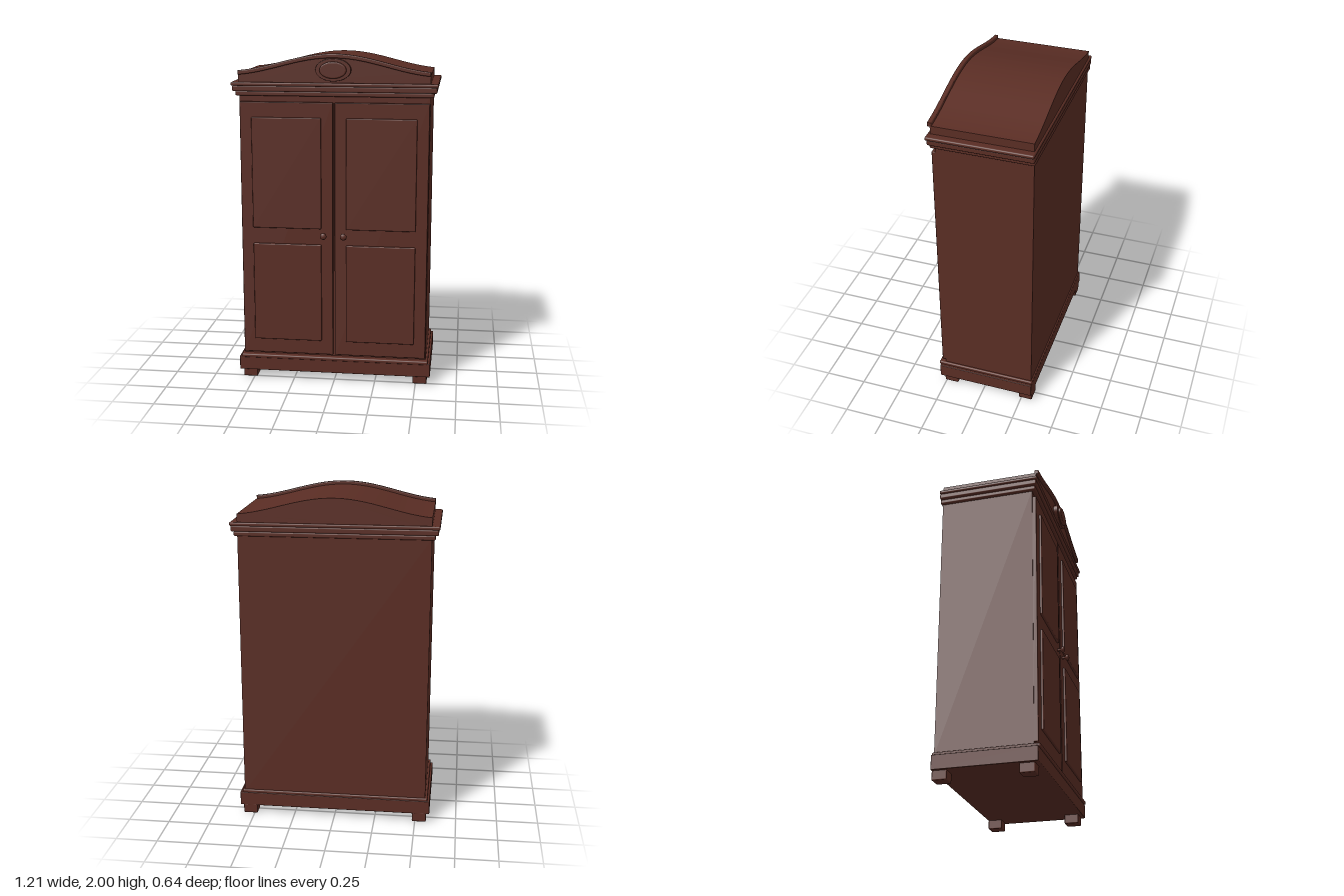
import * as THREE from 'three';
import { RoundedBoxGeometry } from 'three/addons/geometries/RoundedBoxGeometry.js';

const wood = new THREE.MeshStandardMaterial({ color: 0x5a2d24 });
wood.name = 'dark mahogany';

function add(parent, name, geometry) {
  const mesh = new THREE.Mesh(geometry, wood);
  mesh.name = name;
  parent.add(mesh);
  return mesh;
}

// Box given by its limits; a radius softens the edges
function block(parent, name, [x0, x1], [y0, y1], [z0, z1], radius = 0) {
  const size = [x1 - x0, y1 - y0, z1 - z0];
  const geometry = radius
    ? new RoundedBoxGeometry(...size, 2, radius)
    : new THREE.BoxGeometry(...size);
  const mesh = add(parent, name, geometry);
  mesh.position.set((x0 + x1) / 2, (y0 + y1) / 2, (z0 + z1) / 2);
  return mesh;
}

// Swept top line of the pediment, from 1.90 at the ends to 2.00 in the middle
const HALF = 0.56;
function crest(x) {
  const k = 2.8;
  const low = Math.cos(k);
  return 1.9 + 0.1 * (Math.cos((k * x) / HALF) - low) / (1 - low);
}

// Outline between the crest lowered by 'drop' and a lower edge
function crestShape(half, drop, lower) {
  const n = 40;
  const points = [];
  for (let i = 0; i <= n; i++) {
    const x = half - (2 * half * i) / n;
    points.push(new THREE.Vector2(x, crest(x) - drop));
  }
  for (let i = n; i >= 0; i--) {
    const x = half - (2 * half * i) / n;
    points.push(new THREE.Vector2(x, lower(x)));
  }
  return new THREE.Shape(points);
}

function oval(rx, ry) {
  return new THREE.Shape().absellipse(0, 0, rx, ry, 0, Math.PI * 2);
}

function makeDoor(side) {
  const door = new THREE.Group();
  door.name = side > 0 ? 'leftDoor' : 'rightDoor';
  const span = (a, b) => (side > 0 ? [a, b] : [-b, -a]);
  block(door, 'doorLeaf', span(0.005, 0.557), [0.17, 1.717], [0.245, 0.277], 0.005);
  block(door, 'upperPanel', span(0.074, 0.487), [0.963, 1.628], [0.262, 0.29], 0.006);
  block(door, 'lowerPanel', span(0.074, 0.487), [0.26, 0.866], [0.262, 0.29], 0.006);

  // Turned knob
  const profile = [[0, 0], [0.011, 0], [0.008, 0.012], [0.008, 0.024], [0.017, 0.03],
    [0.02, 0.037], [0.016, 0.044], [0.008, 0.047], [0, 0.048]];
  const knob = add(door, 'knob',
    new THREE.LatheGeometry(profile.map(([r, y]) => new THREE.Vector2(r, y)), 24));
  knob.rotation.x = Math.PI / 2;
  knob.position.set(side * 0.06, 0.925, 0.272);
  return door;
}

function makePediment() {
  const pediment = new THREE.Group();
  pediment.name = 'pediment';

  // Curved roof block running to the back
  const roof = add(pediment, 'roofBlock', new THREE.ExtrudeGeometry(
    crestShape(HALF, 0.02, () => 1.82), { depth: 0.587, bevelEnabled: false }));
  roof.position.z = -0.31;

  // Rounded moulding along the front crest
  const b = 0.006;
  const trim = add(pediment, 'crestMoulding', new THREE.ExtrudeGeometry(
    crestShape(HALF - b, b, (x) => crest(x) - 0.019),
    { depth: 0.014, bevelSize: b, bevelThickness: b, bevelSegments: 3 }));
  trim.position.z = 0.274;

  // Oval medallion
  const base = add(pediment, 'medallionBase', new THREE.ExtrudeGeometry(
    oval(0.1, 0.062), { depth: 0.024, bevelSize: 0.003, bevelThickness: 0.003, bevelSegments: 2, curveSegments: 32 }));
  base.position.set(0, 1.908, 0.275);
  const boss = add(pediment, 'medallionBoss', new THREE.ExtrudeGeometry(
    oval(0.07, 0.04), { depth: 0.012, bevelSize: 0.008, bevelThickness: 0.006, bevelSegments: 3, curveSegments: 32 }));
  boss.position.set(0, 1.908, 0.3);
  return pediment;
}

export function createModel() {
  const wardrobe = new THREE.Group();
  wardrobe.name = 'wardrobe';

  // Feet
  for (const s of [-1, 1]) {
    const x = s > 0 ? [0.482, 0.568] : [-0.568, -0.482];
    block(wardrobe, 'frontFoot', x, [0, 0.06], [0.173, 0.26], 0.006);
    block(wardrobe, 'backFoot', x, [0, 0.06], [-0.318, -0.232], 0.006);
  }

  // Plinth and its moulding
  block(wardrobe, 'plinth', [-0.588, 0.588], [0.053, 0.138], [-0.318, 0.283], 0.004);
  block(wardrobe, 'plinthMoulding', [-0.574, 0.574], [0.134, 0.157], [-0.318, 0.292], 0.008);

  // Carcass
  block(wardrobe, 'carcass', [-0.56, 0.56], [0.14, 1.76], [-0.31, 0.253]);

  for (const s of [-1, 1]) wardrobe.add(makeDoor(s));

  // Stepped cornice
  const steps = [[0.58, 1.752, 1.78, 0.277], [0.597, 1.778, 1.812, 0.287], [0.605, 1.81, 1.832, 0.294]];
  for (const [half, y0, y1, front] of steps) {
    block(wardrobe, 'corniceStep', [-half, half], [y0, y1], [-0.32, front], 0.008);
  }

  wardrobe.add(makePediment());
  return wardrobe;
}
